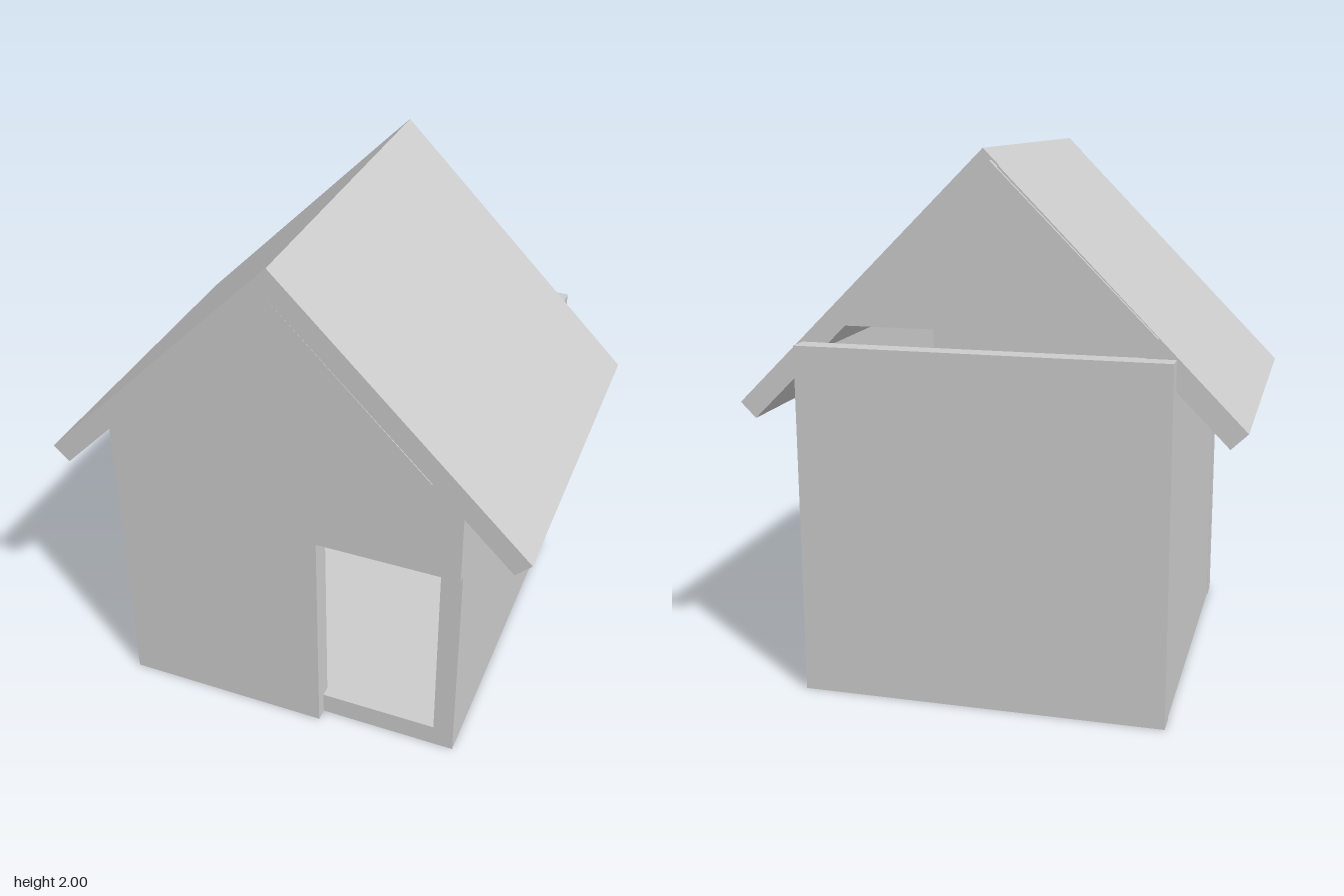
import * as THREE from 'three';

const material = new THREE.MeshStandardMaterial({ color: 0xcccccc, flatShading: true });

// A flat panel: an outline in x and y, extruded from z0 to z1
function panel(name, outline, z0, z1) {
  const shape = new THREE.Shape(outline.map(([x, y]) => new THREE.Vector2(x, y)));
  const geometry = new THREE.ExtrudeGeometry(shape, { depth: z1 - z0, bevelEnabled: false });
  geometry.translate(0, 0, z0);
  const mesh = new THREE.Mesh(geometry, material);
  mesh.name = name;
  return mesh;
}

// A box given by its limits on each axis
function block(name, [x0, x1], [y0, y1], [z0, z1]) {
  const geometry = new THREE.BoxGeometry(x1 - x0, y1 - y0, z1 - z0);
  geometry.translate((x0 + x1) / 2, (y0 + y1) / 2, (z0 + z1) / 2);
  const mesh = new THREE.Mesh(geometry, material);
  mesh.name = name;
  return mesh;
}

// A right-angled triangular gable hanging from its apex
function gable(name, x, y, size, z0, z1) {
  return panel(name, [[x - size, y - size], [x + size, y - size], [x, y]], z0, z1);
}

export function createModel() {
  const house = new THREE.Group();
  house.name = 'house';

  // Floor and walls, with a narrow slot between floor and wall at -x
  house.add(
    block('floor', [-0.585, 0.67], [0, 0.09], [-0.72, 0.645]),
    block('backWall', [-0.683, 0.67], [0, 1.31], [-0.72, -0.64]),
    block('rightWall', [-0.68, -0.6], [0, 1.31], [-0.64, 0.645]),
    block('leftWall', [0.59, 0.67], [0, 1.31], [-0.64, 0.645]),
  );

  // Front wall, cut away for the doorway
  house.add(panel('frontWall', [
    [-0.683, 0], [0.13, 0], [0.13, 0.9], [0.675, 0.9], [0.675, 1.315], [-0.683, 1.31],
  ], 0.605, 0.692));

  // Gables
  house.add(
    gable('frontGable', -0.01, 1.885, 0.575, 0.635, 0.717),
    gable('backGable', -0.04, 1.96, 0.58, -0.665, -0.585),
  );

  // Roof slabs: one butts against the underside of the other at the ridge
  house.add(
    panel('rightRoof', [[-0.93, 1.07], [-0.87, 1.012], [-0.01, 1.885], [-0.067, 1.943]], -0.65, 0.707),
    panel('leftRoof', [[-0.067, 1.943], [0.867, 1.015], [0.925, 1.073], [-0.01, 2]], -0.638, 0.718),
  );

  return house;
}
